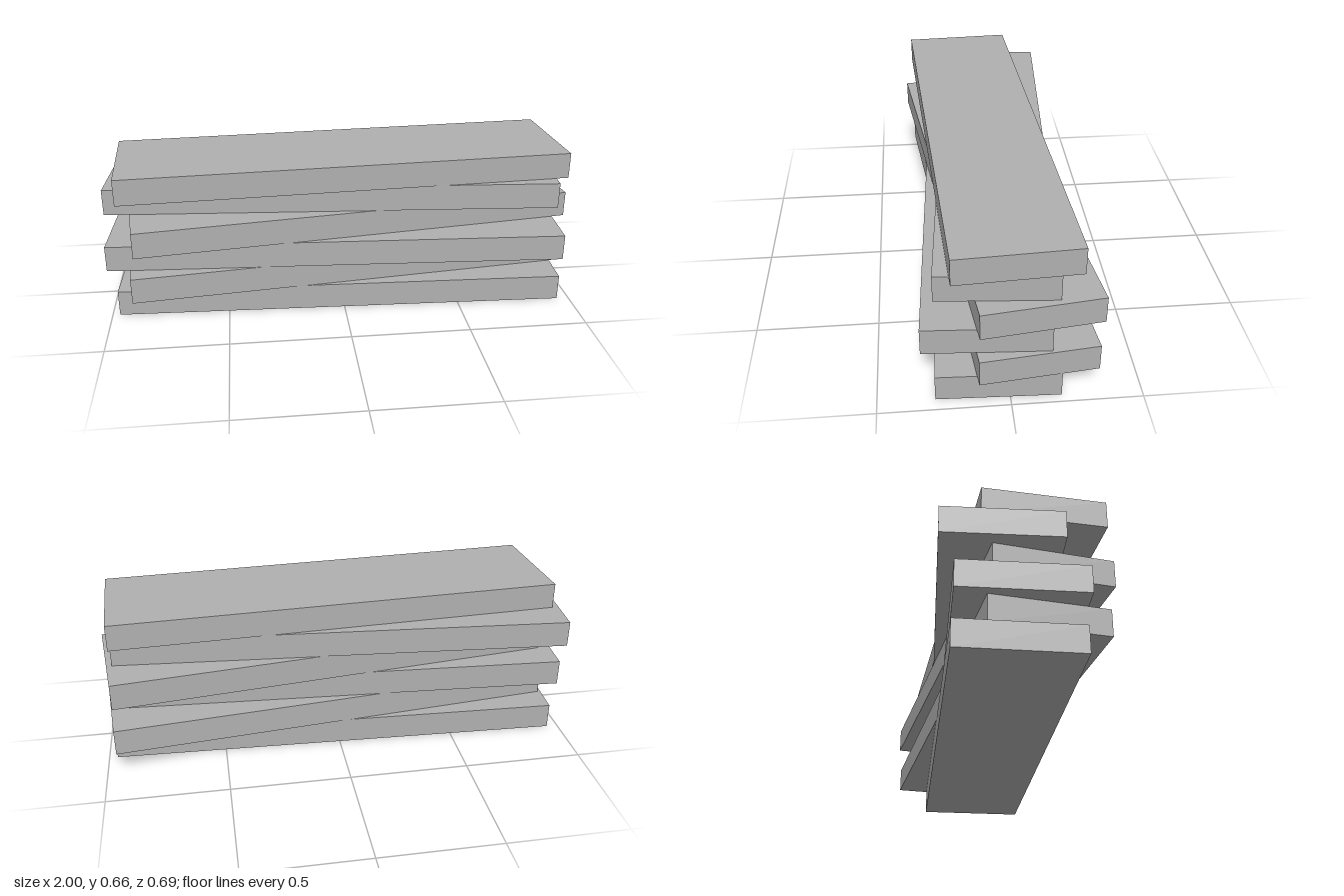
import * as THREE from 'three';

export function createModel() {
  const group = new THREE.Group();
  group.name = 'plankStack';

  const plankGrey = new THREE.MeshStandardMaterial({ color: 0xb0b0b0 });
  plankGrey.name = 'plankGrey';

  // Planks from bottom to top: length, width, centre x, centre z, turn about y
  const thickness = 0.11;
  const planks = [
    [1.918, 0.476, -0.002, 0.01, -0.0355],
    [1.906, 0.457, 0.028, -0.008, 0.1046],
    [1.938, 0.484, -0.02, 0.037, -0.0532],
    [1.886, 0.466, 0.036, 0.001, 0.1223],
    [1.915, 0.457, -0.03, -0.018, -0.0706],
    [1.895, 0.475, 0.007, 0.028, 0.0528],
  ];

  planks.forEach(([length, width, x, z, turn], i) => {
    const plank = new THREE.Mesh(new THREE.BoxGeometry(length, thickness, width), plankGrey);
    plank.name = `plank${i + 1}`;
    plank.position.set(x, thickness * (i + 0.5), z);
    plank.rotation.y = turn;
    group.add(plank);
  });

  return group;
}
